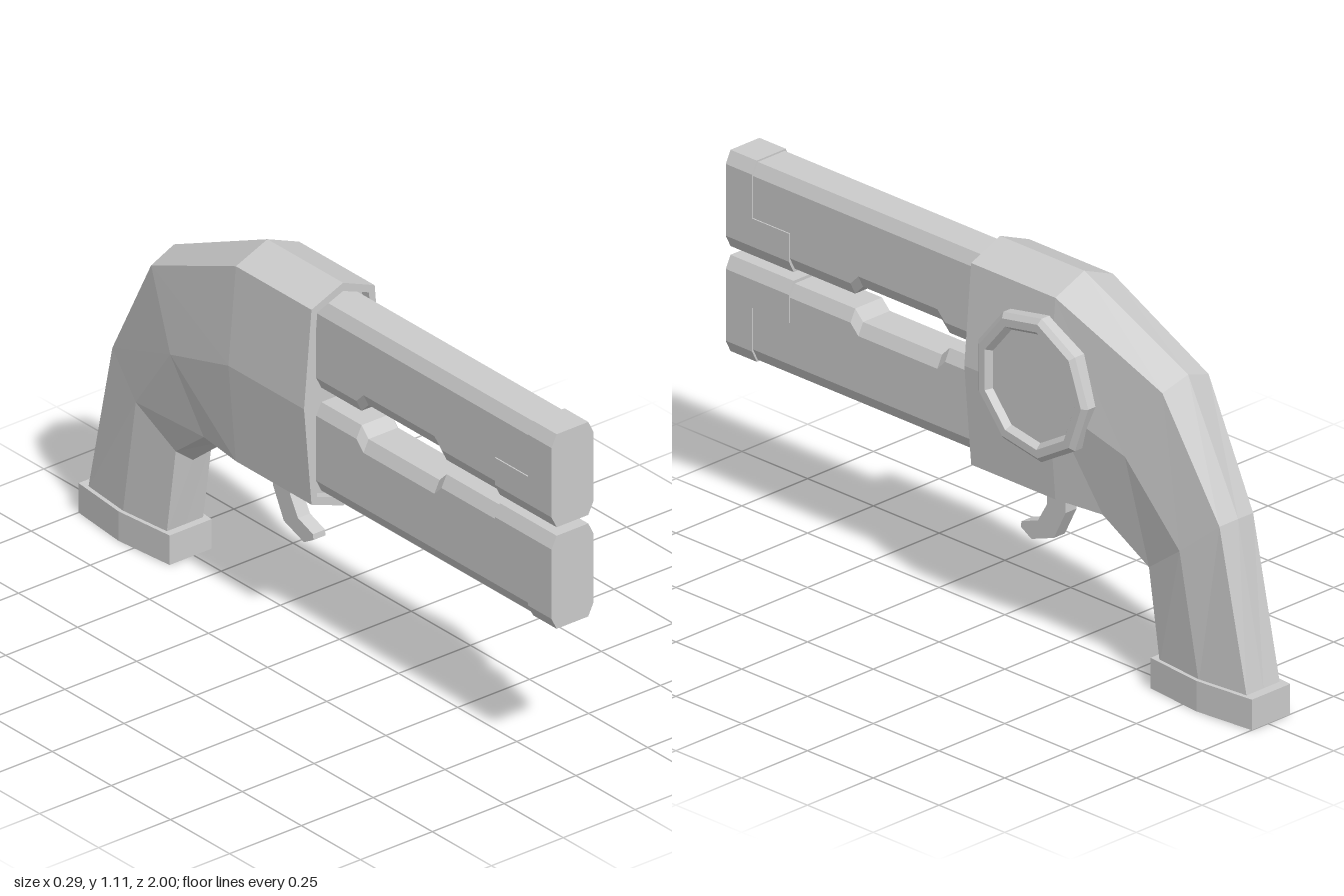
import * as THREE from 'three';

const CX = -0.012; // symmetry plane of everything but the dial
const material = new THREE.MeshStandardMaterial({ color: 0xcccccc, flatShading: true });

// Skins rings of [x, y, z] points, ordered front to back, counter-clockwise seen from the front
function loft(rings) {
  const n = rings[0].length, index = [];
  for (let r = 0; r < rings.length - 1; r++) {
    for (let i = 0; i < n; i++) {
      const a = r * n + i, b = r * n + (i + 1) % n;
      index.push(a, a + n, b, b, a + n, b + n);
    }
  }
  const last = (rings.length - 1) * n;
  for (let i = 1; i < n - 1; i++) {
    index.push(0, i, i + 1, last, last + i + 1, last + i);
  }
  const geometry = new THREE.BufferGeometry();
  geometry.setAttribute('position', new THREE.Float32BufferAttribute(rings.flat(2), 3));
  geometry.setIndex(index);
  const flat = geometry.toNonIndexed();
  flat.computeVertexNormals();
  return flat;
}

// Eight-sided ring; each argument is [halfWidth, y, z], ridges have no width
function bodyRing(top, topShoulder, middle, lowShoulder, low) {
  const sides = [topShoulder, middle, lowShoulder];
  const at = (s, [w, y, z]) => [CX + s * w, y, z];
  return [
    at(0, top), ...sides.map(p => at(-1, p)),
    at(0, low), ...sides.reverse().map(p => at(1, p)),
  ];
}

// Chamfered rectangle between two heights; flatTop drops the upper chamfer
function barrelRing(z, low, high, half, flatTop = false) {
  const cx = flatTop ? 0 : 0.018, cy = flatTop ? 0 : 0.036;
  return [
    [CX + half - cx, high, z], [CX - half + cx, high, z],
    [CX - half, high - cy, z], [CX - half, low + 0.036, z],
    [CX - half + 0.018, low, z], [CX + half - 0.018, low, z],
    [CX + half, low + 0.036, z], [CX + half, high - cy, z],
  ];
}

// Mirrors a ring to the lower barrel, keeping its winding
const MIRROR_Y = 0.768;
const flipRing = ring => ring.map(([x, y, z]) => [x, 2 * MIRROR_Y - y, z]).reverse();

export function createModel() {
  const model = new THREE.Group();
  const add = (name, geometry, parent = model) => {
    const mesh = new THREE.Mesh(geometry, material);
    mesh.name = name;
    parent.add(mesh);
    return mesh;
  };

  // Body and grip: recessed front, straight receiver, then a bend down into the grip
  const mouth = z => bodyRing([0, 1.08, z], [0.09, 1.045, z], [0.112, 0.765, z], [0.09, 0.482, z], [0, 0.45, z]);
  const receiver = z => bodyRing([0, 1.105, z], [0.11, 1.06, z], [0.136, 0.765, z], [0.11, 0.465, z], [0, 0.425, z]);
  add('bodyAndGrip', loft([
    mouth(0.0),
    mouth(0.03),
    receiver(0.03),
    receiver(-0.29),
    bodyRing([0, 0.925, -0.685], [0.088, 0.895, -0.675], [0.116, 0.68, -0.56], [0.09, 0.465, -0.45], [0, 0.425, -0.45]),
    bodyRing([0, 0.56, -0.875], [0.064, 0.555, -0.868], [0.088, 0.45, -0.74], [0.064, 0.35, -0.6], [0, 0.3, -0.605]),
    bodyRing([0, 0.08, -0.972], [0.063, 0.08, -0.972], [0.08, 0.08, -0.805], [0.063, 0.08, -0.64], [0, 0.08, -0.64]),
  ]));

  // Butt plate: six-sided slab under the grip
  const plate = y => [[0.073, -1], [0.092, -0.808], [0.073, -0.615]]
    .flatMap(([w, z]) => [[CX - w, y, z]])
    .concat([[0.073, -0.615], [0.092, -0.808], [0.073, -1]].map(([w, z]) => [CX + w, y, z]));
  add('buttPlate', loft([plate(0.09), plate(0)]));

  // Twin barrels with a notch between them and stepped muzzle caps
  const barrel = [
    [0.92, 0.79], [0.53, 0.79], [0.5, 0.82], [0.2, 0.82], [0.17, 0.79], [-0.02, 0.79],
  ].map(([z, low]) => barrelRing(z, low, 1.06, 0.069));
  const cap = [1, 0.9].map(z => barrelRing(z, 0.781, 1.065, 0.073));
  const capStep = [0.9, 0.76].map(z => barrelRing(z, 0.781, 0.9, 0.073, true));
  for (const [name, turn] of [['upperBarrel', r => r], ['lowerBarrel', flipRing]]) {
    const group = new THREE.Group();
    group.name = name;
    model.add(group);
    add(name + 'Tube', loft(barrel.map(turn)), group);
    add(name + 'MuzzleCap', loft(cap.map(turn)), group);
    add(name + 'MuzzleStep', loft(capStep.map(turn)), group);
  }

  // Nine-sided dial on the left side, with a bevelled rim and sunken face
  const dialProfile = [
    [0.215, 0.05], [0.215, 0.133], [0.2, 0.146], [0.176, 0.146], [0.162, 0.128], [0, 0.128],
  ].map(([r, x]) => new THREE.Vector2(r, x));
  const dial = add('sideDial', new THREE.LatheGeometry(dialProfile, 9, Math.PI));
  dial.rotation.z = -Math.PI / 2;
  dial.position.set(0, 0.792, -0.235);

  // Trigger: hooked outline, given as (z, y)
  const hook = new THREE.Shape([
    [-0.17, 0.45], [-0.17, 0.385], [-0.135, 0.325], [-0.072, 0.302], [-0.07, 0.285],
    [-0.11, 0.262], [-0.195, 0.292], [-0.24, 0.38], [-0.24, 0.45],
  ].map(([z, y]) => new THREE.Vector2(z, y)));
  const trigger = new THREE.ExtrudeGeometry(hook, { depth: 0.042, bevelEnabled: false });
  trigger.translate(0, 0, -0.021).rotateY(-Math.PI / 2).translate(CX, 0, 0);
  add('trigger', trigger);

  return model;
}
